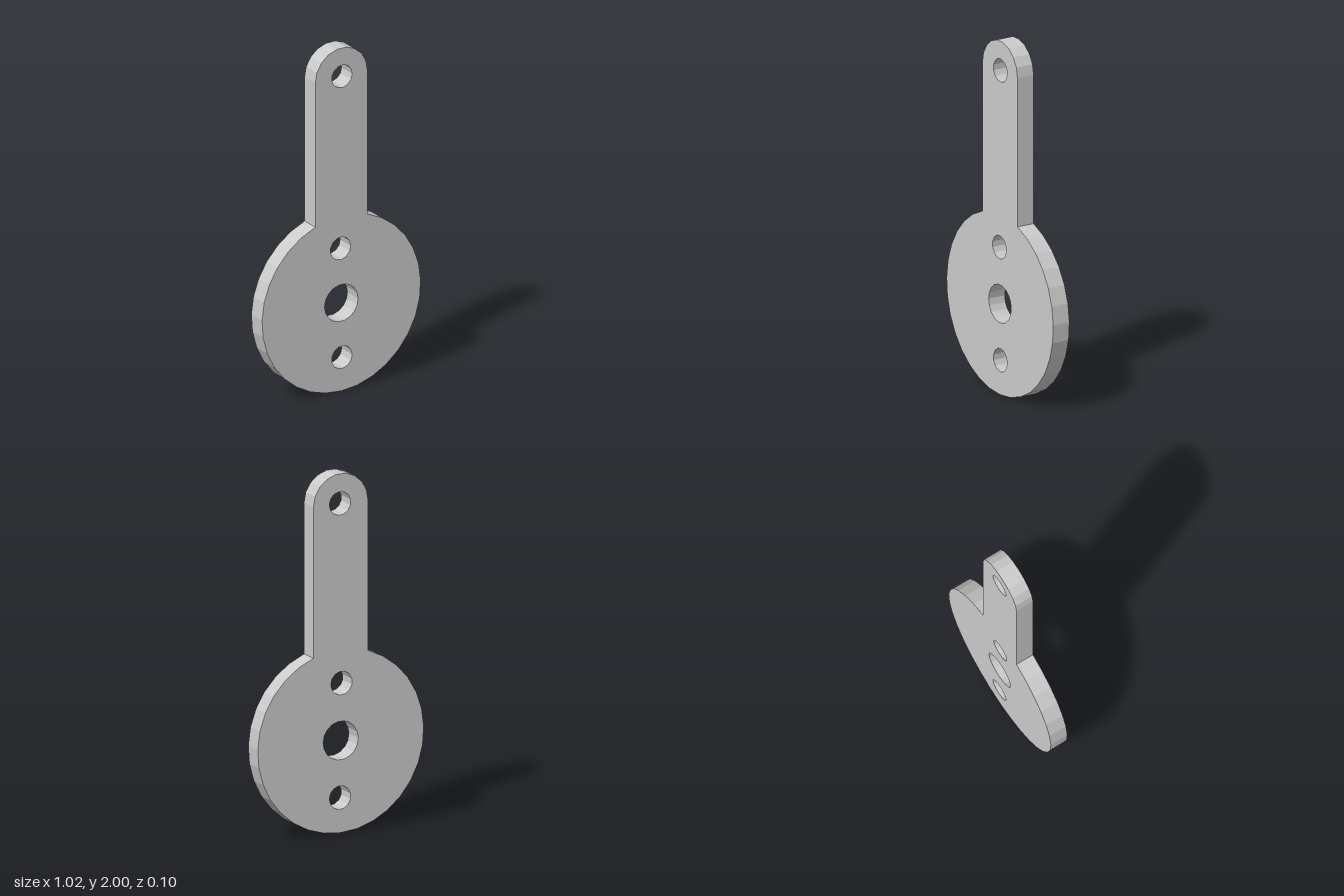
import * as THREE from 'three';

const THICKNESS = 0.105;
const DISC = { y: 0.512, r: 0.511 };
const ARM = { y: 1.835, r: 0.168 };

// Points along an arc, ends included
function arc(x, y, r, start, sweep, segments) {
  const points = [];
  for (let i = 0; i <= segments; i++) {
    const a = start + (sweep * i) / segments;
    points.push(new THREE.Vector2(x + r * Math.cos(a), y + r * Math.sin(a)));
  }
  return points;
}

// Closed round hole
function hole(x, y, r, segments) {
  return new THREE.Path(arc(x, y, r, 0, -Math.PI * 2, segments).slice(0, -1));
}

export function createModel() {
  const group = new THREE.Group();
  group.name = 'leverArm';

  // Outline: rounded arm end, then around the disc from the left to the right junction
  const junction = Math.acos(ARM.r / DISC.r);
  const shape = new THREE.Shape([
    ...arc(0, ARM.y, ARM.r, 0, Math.PI, 9),
    ...arc(0, DISC.y, DISC.r, Math.PI - junction, Math.PI + 2 * junction, 28),
  ]);

  // Pivot hole in the arm, axle hole in the disc and a bolt hole on each side of it
  shape.holes.push(
    hole(0.004, 1.836, 0.066, 13),
    hole(-0.005, 0.834, 0.066, 13),
    hole(0, 0.515, 0.108, 18),
    hole(0.004, 0.197, 0.066, 13),
  );

  const geometry = new THREE.ExtrudeGeometry(shape, { depth: THICKNESS, bevelEnabled: false });
  geometry.translate(0, 0, -THICKNESS / 2);
  const plate = new THREE.Mesh(
    geometry,
    new THREE.MeshStandardMaterial({ color: 0xcccccc, flatShading: true }),
  );
  plate.name = 'leverPlate';
  group.add(plate);
  return group;
}
